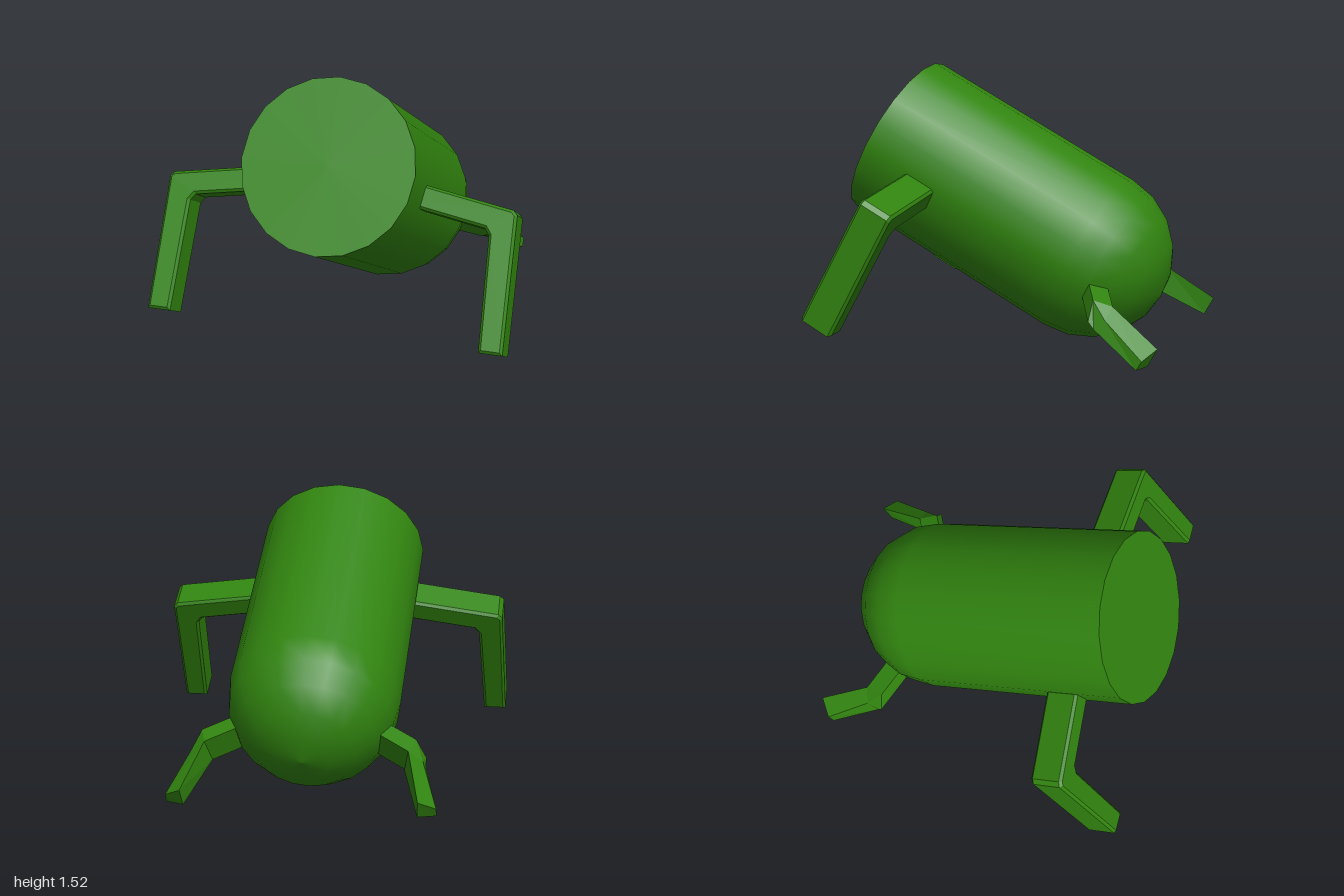
import * as THREE from 'three';

const green = new THREE.MeshStandardMaterial({ color: 0x31840f });
green.name = 'leaf green';

function part(name, geometry) {
  const mesh = new THREE.Mesh(geometry, green);
  mesh.name = name;
  return mesh;
}

// Faceted solid joining four-cornered sections, closed at both ends
function loft(sections) {
  const pos = [];
  const tri = (...pts) => pts.forEach((p) => pos.push(...p));
  for (let s = 0; s < sections.length - 1; s++) {
    const a = sections[s], b = sections[s + 1];
    for (let i = 0; i < 4; i++) {
      const j = (i + 1) % 4;
      tri(a[i], a[j], b[j]);
      tri(a[i], b[j], b[i]);
    }
  }
  const first = sections[0], last = sections[sections.length - 1];
  tri(first[2], first[1], first[0]);
  tri(first[3], first[2], first[0]);
  tri(last[0], last[1], last[2]);
  tri(last[0], last[2], last[3]);
  const g = new THREE.BufferGeometry();
  g.setAttribute('position', new THREE.Float32BufferAttribute(pos, 3));
  g.computeVertexNormals();
  return g;
}

// Bent front arm, chamfered, cut across the body axis
function frontArm(side) {
  const outline = [
    [0.3, 0.016], [0.96, -0.093], [0.984, -0.118], [1.0, -0.86],
    [0.87, -0.86], [0.846, -0.24], [0.82, -0.205], [0.3, -0.118],
  ];
  const shape = new THREE.Shape(outline.map(([x, y]) => new THREE.Vector2(x * side, y)));
  const g = new THREE.ExtrudeGeometry(shape, {
    depth: 0.165, bevelEnabled: true, bevelSegments: 1,
    bevelThickness: 0.015, bevelSize: 0.015, bevelOffset: -0.015,
  });
  g.translate(0, 0, 0.855);
  return g;
}

// Short rear leg: upper piece, knee and tapered foot
function rearLeg(side) {
  const knee = [[0.59, 0.345, -0.61], [0.647, 0.24, -0.6], [0.53, 0.18, -0.63], [0.557, 0.31, -0.71]];
  const root = knee.map(([x, y, z]) => [x - 0.3, y + 0.11, z + 0.14]);
  const lowerKnee = [[0.635, 0.25, -0.69], [0.645, 0.2, -0.63], knee[2], knee[3]].map((p) => [...p]);
  lowerKnee[2][2] -= 0.01;
  const tip = [[0.73, 0.07, -0.92], [0.73, 0.02, -0.89], [0.63, 0.02, -0.925], [0.637, 0.12, -0.98]];
  const sections = [root, knee, lowerKnee, tip].map((loop) => {
    const out = loop.map(([x, y, z]) => [x * side, y, z]);
    return side < 0 ? out.reverse() : out;
  });
  return loft(sections);
}

export function createModel() {
  const model = new THREE.Group();
  model.name = 'model';
  const R = 0.48, LENGTH = 1.31, SIDES = 20;

  // Tilted frame: origin at the centre of the rounded end, z along the body
  const torso = new THREE.Group();
  torso.name = 'torso';
  torso.position.set(0, 0.48, -0.4);
  torso.rotation.x = -0.492;
  model.add(torso);

  // Smooth shell: dome followed by a straight tube
  const profile = [];
  for (let i = 0; i <= 5; i++) {
    const a = (i / 5) * Math.PI / 2;
    profile.push(new THREE.Vector2(R * Math.sin(a), -R * Math.cos(a)));
  }
  profile.push(new THREE.Vector2(R, LENGTH));
  const shell = new THREE.LatheGeometry(profile, SIDES);
  shell.rotateX(Math.PI / 2);
  torso.add(part('bodyShell', shell));

  // Flat front face
  const cap = new THREE.CircleGeometry(R, SIDES);
  cap.translate(0, 0, LENGTH);
  torso.add(part('frontCap', cap));

  for (const [side, label] of [[1, 'left'], [-1, 'right']]) {
    torso.add(part(label + 'FrontArm', frontArm(side)));
    model.add(part(label + 'RearLeg', rearLeg(side)));
  }
  return model;
}
